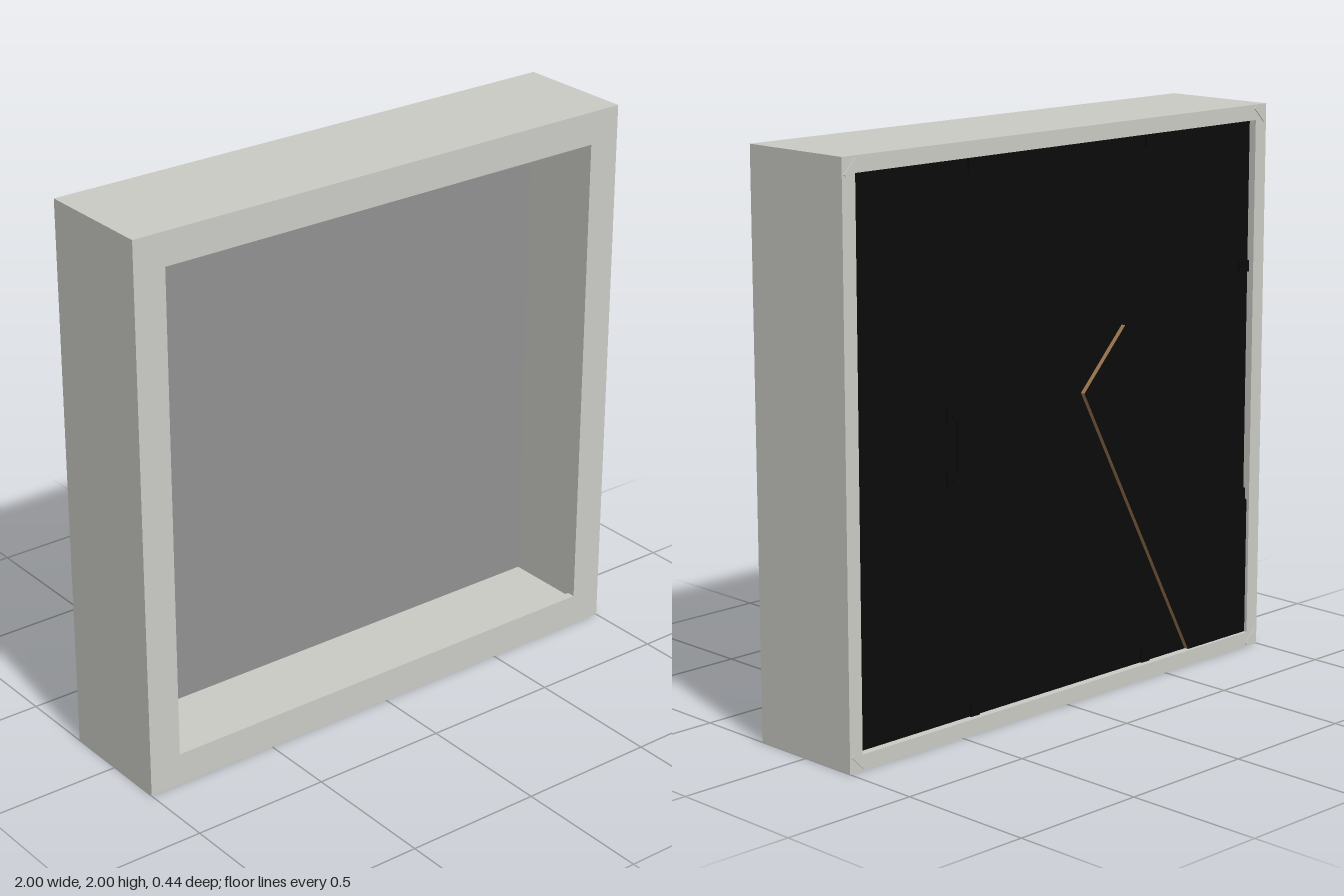
import * as THREE from 'three';

const CY = 1; // height of the frame's centre

function mat(name, color) {
  const m = new THREE.MeshStandardMaterial({ color });
  m.name = name;
  return m;
}

// Square ring lying between two z planes
function ring(name, outer, inner, zBack, zFront, material) {
  const square = (h) => [[-h, -h], [h, -h], [h, h], [-h, h]].map(([x, y]) => new THREE.Vector2(x, y));
  const shape = new THREE.Shape(square(outer));
  shape.holes.push(new THREE.Path(square(inner).reverse()));
  const geo = new THREE.ExtrudeGeometry(shape, { depth: zFront - zBack, bevelEnabled: false });
  geo.translate(0, CY, zBack);
  const mesh = new THREE.Mesh(geo, material);
  mesh.name = name;
  return mesh;
}

function box(name, w, h, d, x, y, z, material) {
  const mesh = new THREE.Mesh(new THREE.BoxGeometry(w, h, d), material);
  mesh.position.set(x, y, z);
  mesh.name = name;
  return mesh;
}

export function createModel() {
  const group = new THREE.Group();
  const frameMat = mat('pale grey frame', 0xcbcbc6);
  const matBoard = mat('mid grey mat', 0x919191);
  const black = mat('black backing', 0x0a0a0a);
  const brown = mat('brown cut edge', 0x9c7650);

  // Deep frame: narrow front lip and thinner side walls behind it
  group.add(ring('frontLip', 1, 0.882, 0.192, 0.222, frameMat));
  group.add(ring('frameWalls', 1, 0.945, -0.218, 0.192, frameMat));

  // Mat facing forward and the backing board behind it
  group.add(box('matPanel', 1.89, 1.89, 0.008, 0, CY, -0.164, matBoard));
  group.add(box('backingBoard', 1.89, 1.89, 0.022, 0, CY, -0.179, black));

  // Flared easel leg running into the lower corner, with a bare cut edge
  const outline = [[-0.29, 1.295], [-0.944, 0.555], [-0.944, 0.056], [-0.635, 0.056], [-0.09, 1.085]];
  const legShape = new THREE.Shape(outline.map(([x, y]) => new THREE.Vector2(x, y)));
  const legGeo = new THREE.ExtrudeGeometry(legShape, { depth: 0.017, bevelEnabled: false });
  legGeo.translate(0, 0, -0.207);
  const leg = new THREE.Mesh(legGeo, [black, brown]);
  leg.name = 'easelLeg';
  group.add(leg);

  // Hanger plate with end tabs and rivets
  const hanger = new THREE.Group();
  hanger.name = 'hanger';
  hanger.add(box('hangerBar', 0.05, 0.26, 0.008, 0, 0, 0, black));
  for (const s of [-1, 1]) {
    hanger.add(box('hangerTab', 0.1, 0.05, 0.008, 0.02, s * 0.11, 0, black));
    const rivet = new THREE.Mesh(new THREE.CylinderGeometry(0.014, 0.014, 0.014, 16), black);
    rivet.rotation.x = Math.PI / 2;
    rivet.position.set(0.04, s * 0.11, -0.003);
    rivet.name = 'hangerRivet';
    hanger.add(rivet);
  }
  hanger.position.set(0.47, CY, -0.194);
  group.add(hanger);

  // Retaining tabs around the backing, two per side, and a fastener per corner
  for (let i = 0; i < 4; i++) {
    const side = new THREE.Group();
    side.name = 'sideFixings';
    for (const s of [-1, 1]) {
      side.add(box('retainingTab', 0.04, 0.05, 0.008, s * 0.42, 0.92, -0.194, black));
    }
    const fastener = box('cornerFastener', 0.07, 0.012, 0.006, 0.965, 0.965, -0.219, frameMat);
    fastener.rotation.z = -Math.PI / 4;
    side.add(fastener);
    side.rotation.z = (i * Math.PI) / 2;
    side.position.y = CY;
    group.add(side);
  }

  return group;
}
